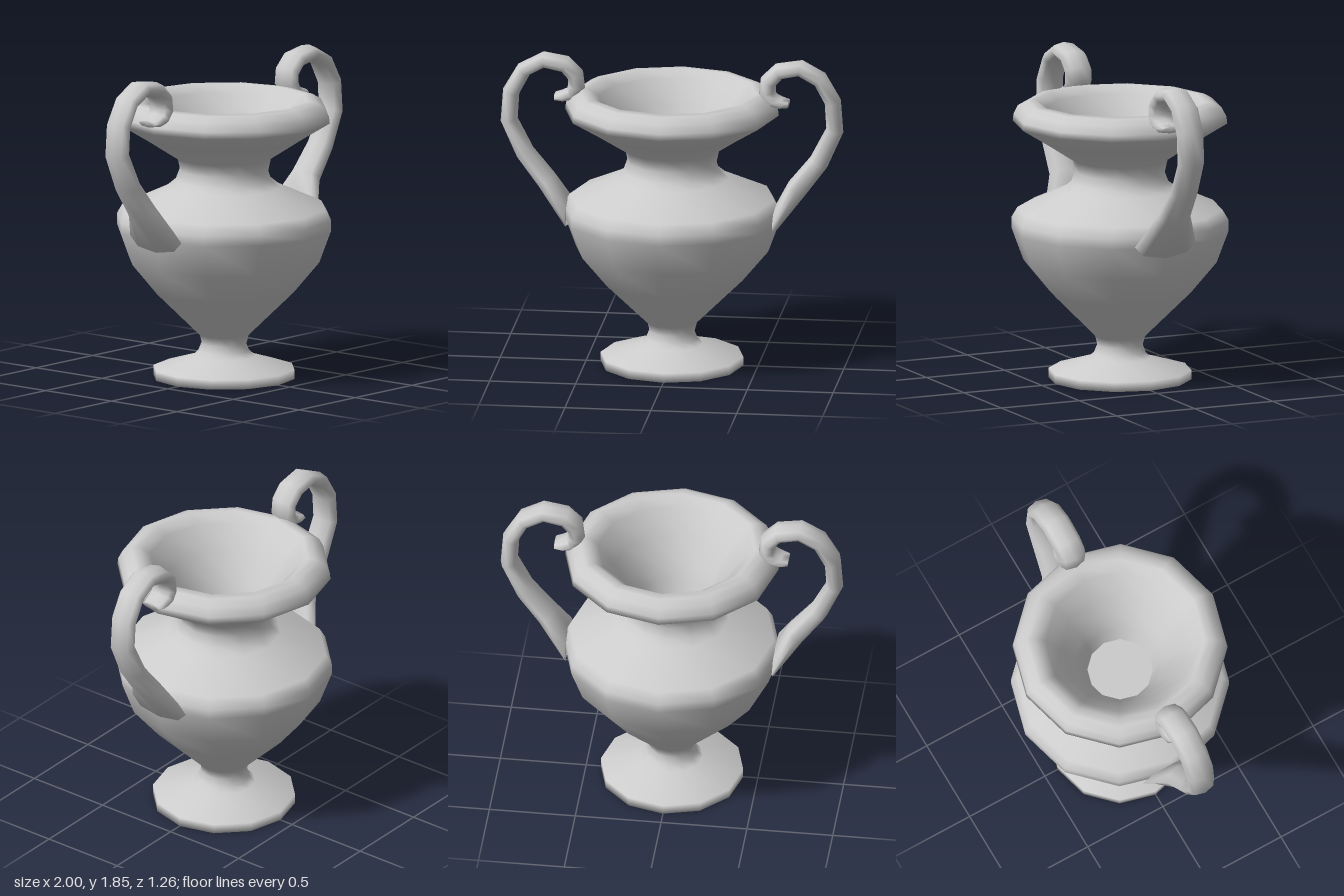
import * as THREE from 'three';

const material = new THREE.MeshStandardMaterial({ color: 0xcccccc, side: THREE.DoubleSide });

// Twelve-sided turned body: foot, belly, neck and rolled lip, then the funnel inside
function createBody() {
  const profile = [
    [0, 0], [0.415, 0], [0.415, 0.055], [0.18, 0.125], [0.15, 0.155], [0.132, 0.2], [0.145, 0.25],
    [0.41, 0.51], [0.56, 0.69], [0.63, 0.88], [0.63, 0.94], [0.595, 1.0], [0.33, 1.12],
    [0.282, 1.16], [0.26, 1.22], [0.275, 1.29], [0.46, 1.41], [0.622, 1.51], [0.617, 1.55],
    [0.592, 1.6], [0.54, 1.63], [0.49, 1.635], [0.43, 1.59], [0.34, 1.46], [0.26, 1.32],
    [0.22, 1.22], [0.19, 1.12], [0.187, 1.12], [0, 1.12],
  ].map(([r, y]) => new THREE.Vector2(r, y));
  const body = new THREE.Mesh(new THREE.LatheGeometry(profile, 12), material);
  body.name = 'vaseBody';
  return body;
}

// Handle stations: x, y, half thickness, half width (z)
const stations = [
  [0.605, 0.895, 0.08, 0.195], [0.73, 1.08, 0.062, 0.102], [0.855, 1.24, 0.057, 0.088],
  [0.948, 1.435, 0.051, 0.085], [0.936, 1.605, 0.049, 0.085], [0.862, 1.737, 0.046, 0.085],
  [0.747, 1.8, 0.046, 0.085], [0.622, 1.777, 0.048, 0.085], [0.562, 1.715, 0.05, 0.085],
  [0.555, 1.65, 0.05, 0.085], [0.585, 1.605, 0.04, 0.085], [0.635, 1.588, 0.03, 0.08],
  [0.68, 1.584, 0.02, 0.065],
];

// Sweeps an eight-sided oval section through the stations
function createHandleGeometry() {
  const sides = 8, last = stations.length - 1;
  const positions = [], index = [];
  stations.forEach(([x, y, thick, wide], i) => {
    const a = stations[Math.max(i - 1, 0)], b = stations[Math.min(i + 1, last)];
    const tangent = new THREE.Vector2(b[0] - a[0], b[1] - a[1]).normalize();
    // The lowest section stands upright against the belly
    const nx = i === 0 ? 0 : -tangent.y, ny = i === 0 ? 1 : tangent.x;
    for (let j = 0; j < sides; j++) {
      const angle = (j / sides) * Math.PI * 2;
      const t = Math.cos(angle) * thick;
      positions.push(x + nx * t, y + ny * t, Math.sin(angle) * wide);
    }
  });
  for (let i = 0; i < last; i++) {
    for (let j = 0; j < sides; j++) {
      const k = (j + 1) % sides, p = i * sides, q = p + sides;
      index.push(p + j, p + k, q + j, p + k, q + k, q + j);
    }
  }
  // End caps
  for (let j = 1; j < sides - 1; j++) {
    const e = last * sides;
    index.push(0, j + 1, j, e, e + j, e + j + 1);
  }
  const geometry = new THREE.BufferGeometry();
  geometry.setAttribute('position', new THREE.Float32BufferAttribute(positions, 3));
  geometry.setIndex(index);
  geometry.computeVertexNormals();
  return geometry;
}

export function createModel() {
  const model = new THREE.Group();
  model.name = 'twoHandledVase';
  model.add(createBody());

  // The same handle turned half way round for the other side
  const handleGeometry = createHandleGeometry();
  ['leftHandle', 'rightHandle'].forEach((name, i) => {
    const handle = new THREE.Mesh(handleGeometry, material);
    handle.name = name;
    handle.rotation.y = i * Math.PI;
    model.add(handle);
  });
  return model;
}
